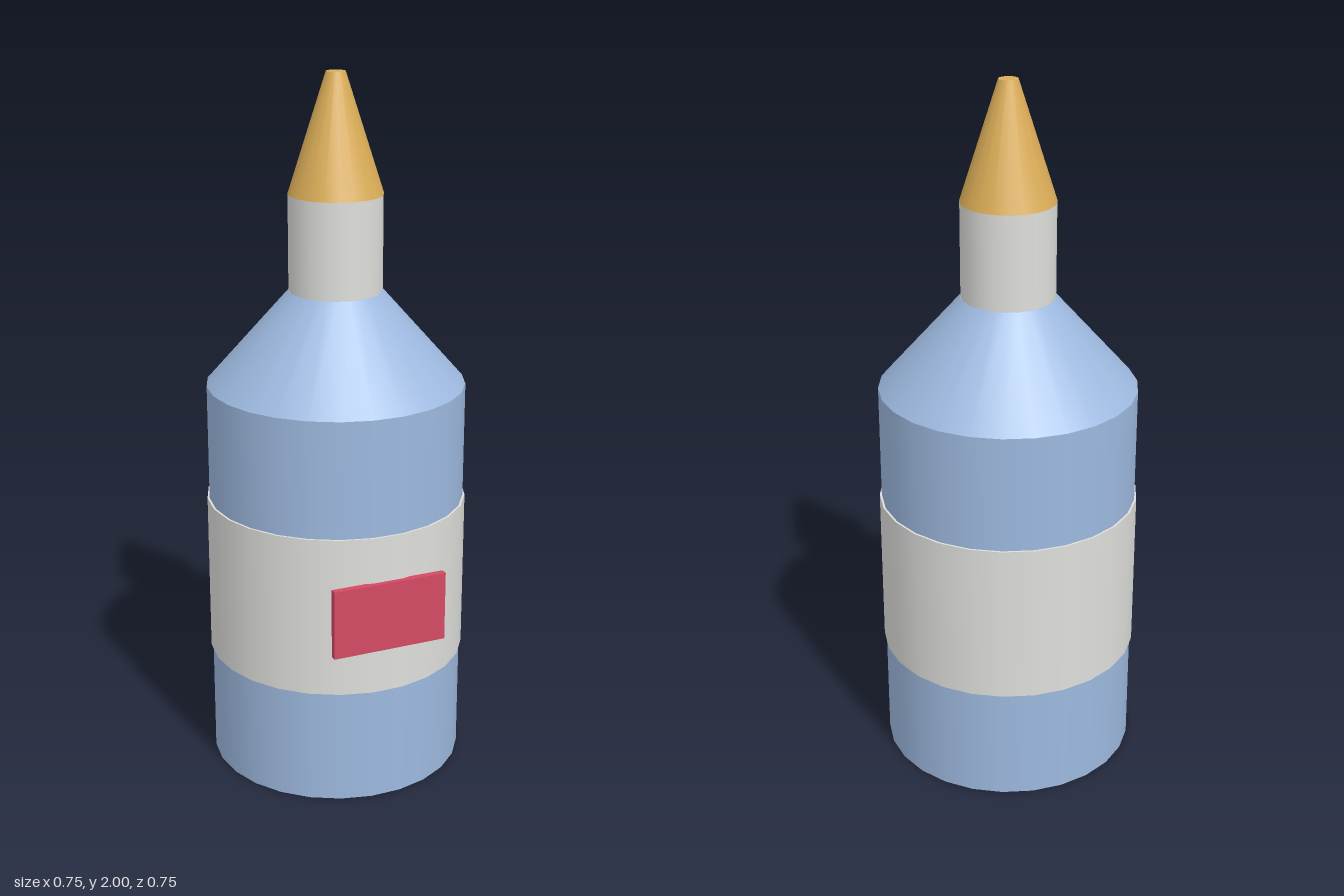
import * as THREE from 'three';

const paint = (name, color) => {
  const m = new THREE.MeshStandardMaterial({ color });
  m.name = name;
  return m;
};

export function createModel() {
  const blue = paint('soft blue', 0x9db9df);
  const grey = paint('pale grey', 0xdededb);
  const gold = paint('gold', 0xdcae58);
  const red = paint('raspberry red', 0xd44a62);

  const group = new THREE.Group();
  group.name = 'bottle';
  const axisZ = -0.0075;

  // Round section between two heights, with a corner on the x axis
  const section = (name, material, y0, y1, r0, r1, sides) => {
    const geometry = new THREE.CylinderGeometry(r1, r0, y1 - y0, sides, 1, false, Math.PI / 2);
    const mesh = new THREE.Mesh(geometry, material);
    mesh.name = name;
    mesh.position.set(0, (y0 + y1) / 2, axisZ);
    group.add(mesh);
  };

  section('body', blue, 0, 1.135, 0.367, 0.367, 26);
  section('labelBand', grey, 0.335, 0.8, 0.373, 0.373, 26);
  section('shoulder', blue, 1.135, 1.4, 0.367, 0.133, 26);
  section('neck', grey, 1.4, 1.67, 0.132, 0.132, 20);
  section('nozzle', gold, 1.67, 2, 0.133, 0.027, 20);

  // Small plaque on the front of the band
  const plaque = new THREE.Mesh(new THREE.BoxGeometry(0.334, 0.2, 0.02), red);
  plaque.name = 'frontPlaque';
  plaque.position.set(0, 0.568, 0.367);
  group.add(plaque);

  return group;
}
